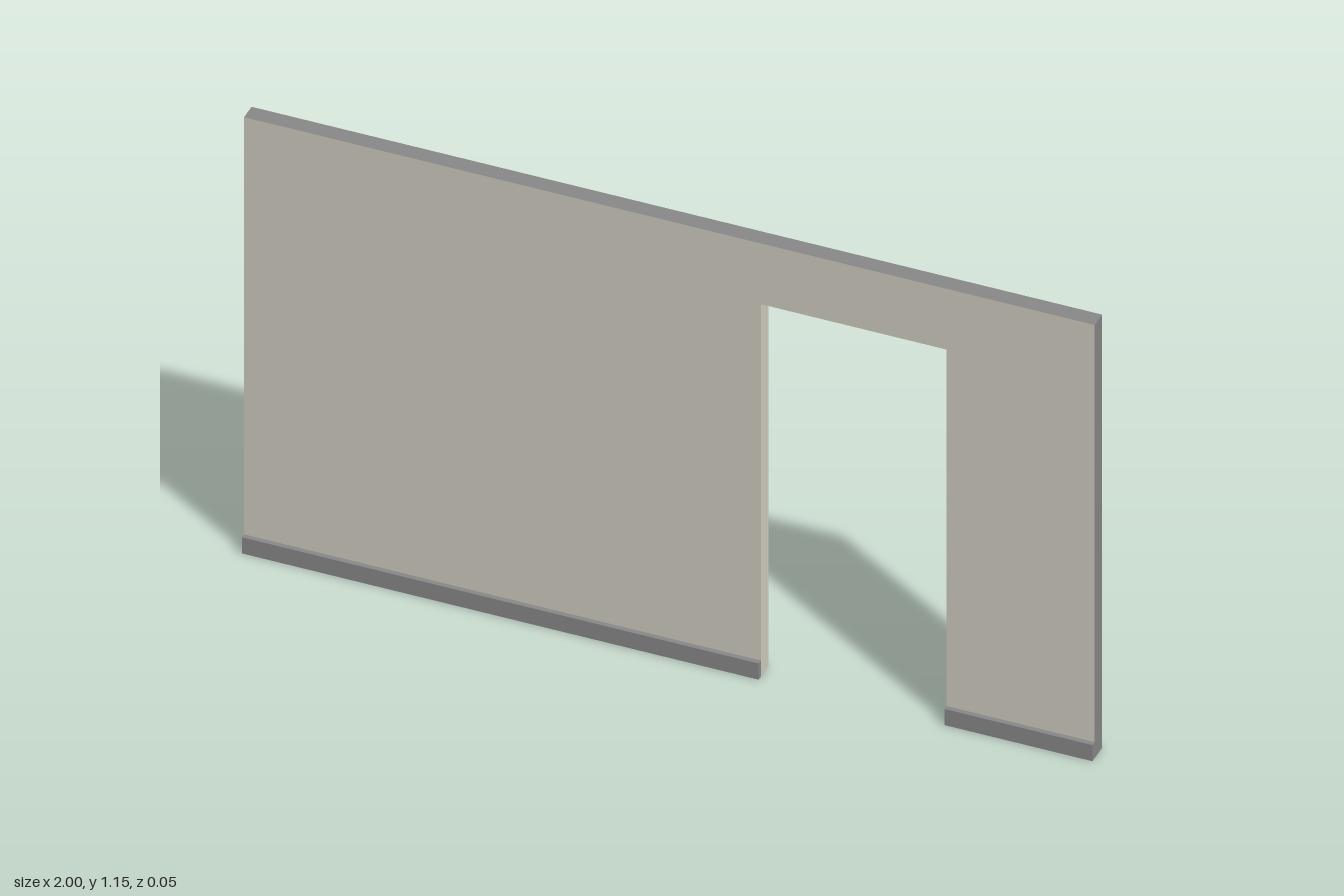
import * as THREE from 'three';

const W = 1, H = 1.155, BACK = -0.027, FACE = 0.015, FRONT = 0.027;
const DOOR_L = 0.215, DOOR_R = 0.652, DOOR_TOP = 0.993, SKIRT_H = 0.043;

export function createModel() {
  const paint = new THREE.MeshStandardMaterial({ color: 0xd0ccc0 });
  paint.name = 'beigePaint';
  const grey = new THREE.MeshStandardMaterial({ color: 0x888888 });
  grey.name = 'plainGrey';

  const model = new THREE.Group();
  model.name = 'wallWithDoorway';

  // Wall slab with a doorway open to the floor
  const outline = [
    [-W, 0], [DOOR_L, 0], [DOOR_L, DOOR_TOP], [DOOR_R, DOOR_TOP],
    [DOOR_R, 0], [W, 0], [W, H], [-W, H],
  ].map(([x, y]) => new THREE.Vector2(x, y));
  const slab = new THREE.ExtrudeGeometry(new THREE.Shape(outline), {
    depth: FACE - BACK, bevelEnabled: false,
  });
  slab.translate(0, 0, BACK);

  // Front face and doorway reveals are painted, the rest is grey
  const pos = slab.attributes.position, nor = slab.attributes.normal;
  slab.clearGroups();
  for (let i = 0; i < pos.count; i += 3) {
    const front = nor.getZ(i) > 0.5;
    const jamb = Math.abs(nor.getX(i)) > 0.5 && Math.abs(pos.getX(i)) < W - 0.01;
    const soffit = nor.getY(i) < -0.5 && pos.getY(i) > 0.5;
    slab.addGroup(i, 3, front || jamb || soffit ? 0 : 1);
  }
  const wall = new THREE.Mesh(slab, [paint, grey]);
  wall.name = 'wall';
  model.add(wall);

  // Skirting boards on either side of the doorway
  for (const [name, x0, x1] of [['rightSkirting', -W, DOOR_L], ['leftSkirting', DOOR_R, W]]) {
    const board = new THREE.Mesh(new THREE.BoxGeometry(x1 - x0, SKIRT_H, FRONT - FACE), grey);
    board.position.set((x0 + x1) / 2, SKIRT_H / 2, (FACE + FRONT) / 2);
    board.name = name;
    model.add(board);
  }
  return model;
}
